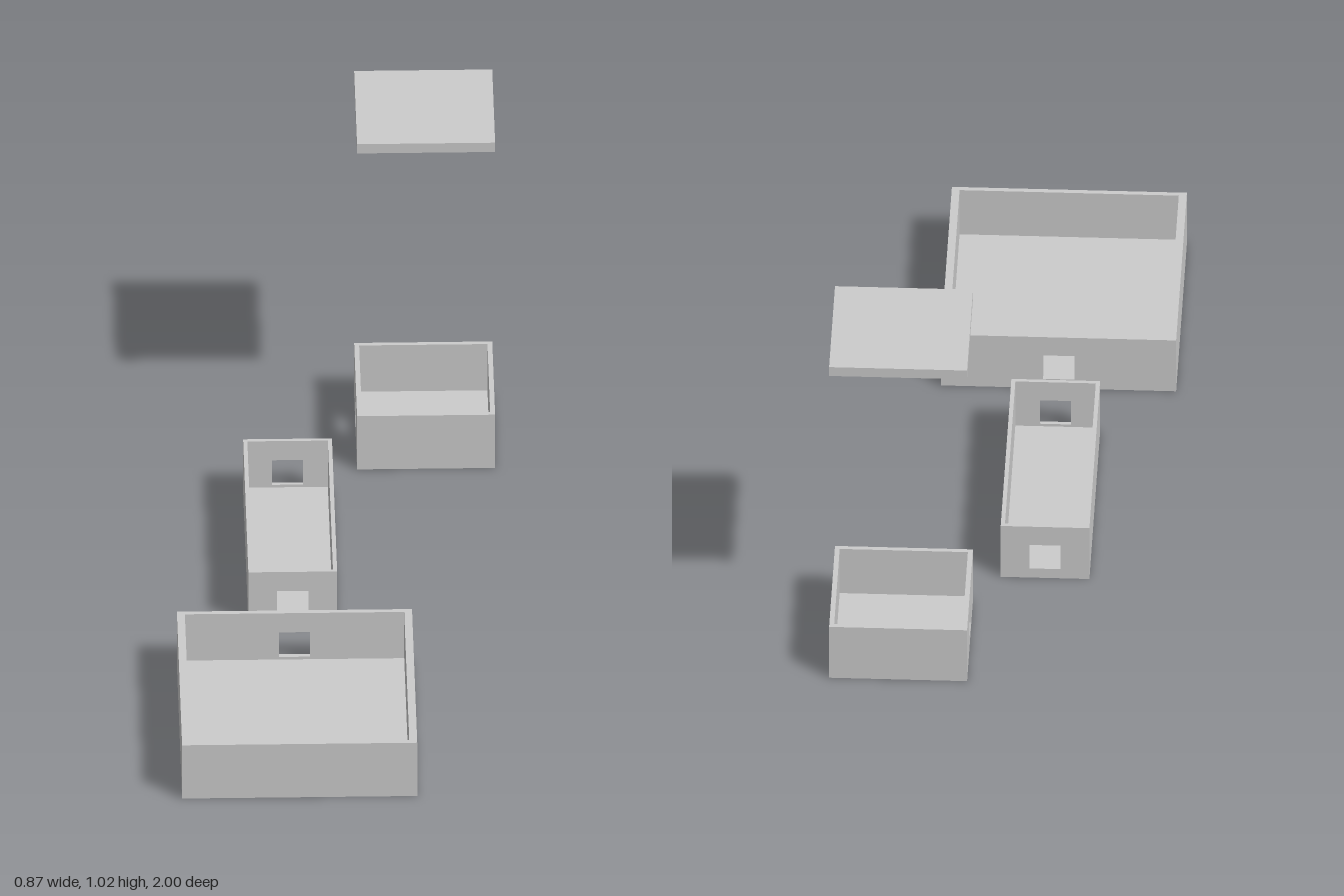
import * as THREE from 'three';

const material = new THREE.MeshStandardMaterial({ color: 0xcccccc, flatShading: true });
const HEIGHT = 0.167, FLOOR = 0.022;
const DOOR = { width: 0.083, bottom: 0.03, top: 0.107 };

function add(parent, name, geometry, x = 0, y = 0, z = 0) {
  const mesh = new THREE.Mesh(geometry, material);
  mesh.name = name;
  mesh.position.set(x, y, z);
  parent.add(mesh);
  return mesh;
}

// Upright wall, centred on its own x and z, with an optional square opening
function wallGeometry(length, thickness, hasDoor) {
  const h = length / 2, d = DOOR.width / 2;
  const shape = new THREE.Shape([
    new THREE.Vector2(-h, 0), new THREE.Vector2(h, 0),
    new THREE.Vector2(h, HEIGHT), new THREE.Vector2(-h, HEIGHT),
  ]);
  if (hasDoor) {
    shape.holes.push(new THREE.Path([
      new THREE.Vector2(-d, DOOR.bottom), new THREE.Vector2(-d, DOOR.top),
      new THREE.Vector2(d, DOOR.top), new THREE.Vector2(d, DOOR.bottom),
    ]));
  }
  return new THREE.ExtrudeGeometry(shape, { depth: thickness, bevelEnabled: false })
    .translate(0, 0, -thickness / 2);
}

// Open-topped room: x and z ranges, wall thicknesses, and which walls have openings
function room(name, { x: [x0, x1], z: [z0, z1], tx, tz, doors, doorX = 0 }) {
  const group = new THREE.Group();
  group.name = name;
  group.position.set((x0 + x1) / 2, 0, (z0 + z1) / 2);
  const w = x1 - x0, d = z1 - z0;
  add(group, 'floor', new THREE.BoxGeometry(w - 2 * tx, FLOOR, d - 2 * tz), 0, FLOOR / 2, 0);

  for (const [side, s] of [['front', 1], ['back', -1]]) {
    const geometry = wallGeometry(w, tz, doors.includes(side));
    // Slide the opening along the wall while keeping the wall ends in place
    const p = geometry.attributes.position;
    for (let i = 0; i < p.count; i++) {
      if (Math.abs(p.getX(i)) < w / 2 - 0.001) p.setX(i, p.getX(i) + doorX);
    }
    add(group, side + 'Wall', geometry, 0, 0, s * (d - tz) / 2);
  }
  for (const [side, s] of [['left', 1], ['right', -1]]) {
    const wall = add(group, side + 'Wall', wallGeometry(d - 2 * tz, tx, doors.includes(side)),
      s * (w - tx) / 2, 0, 0);
    wall.rotation.y = Math.PI / 2;
  }
  return group;
}

export function createModel() {
  const model = new THREE.Group();
  model.name = 'rooms';
  model.add(
    room('largeRoom', { x: [-0.434, 0.191], z: [0.332, 1], tx: 0.021, tz: 0.014, doors: ['back'], doorX: 0 }),
    room('corridor', { x: [-0.24, -0.004], z: [-0.525, 0.14], tx: 0.011, tz: 0.011, doors: ['front', 'back'] }),
    room('smallRoom', { x: [0.065, 0.432], z: [-1, -0.634], tx: 0.013, tz: 0.013, doors: ['right'] }),
  );
  // Lid floating above the small room
  add(model, 'liftedRoof', new THREE.BoxGeometry(0.367, 0.029, 0.366), 0.2485, 1.006, -0.817);
  return model;
}
